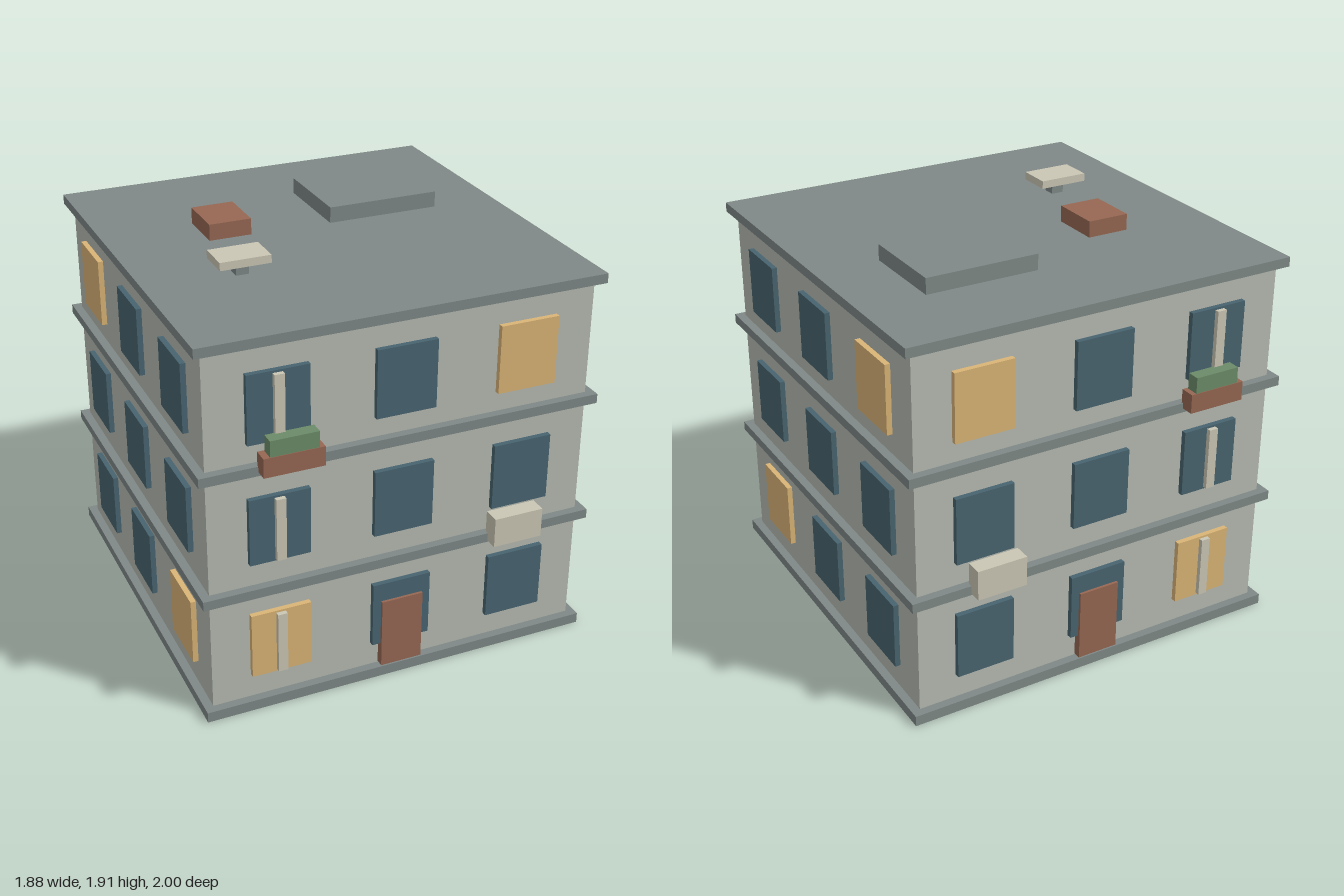
import * as THREE from 'three';

const mat = (color) => new THREE.MeshStandardMaterial({ color });

export function createModel() {
  const building = new THREE.Group();
  building.name = 'apartmentBuilding';

  const wall = mat(0xb6bbb2), slab = mat(0x7f8987), glass = mat(0x486470), lit = mat(0xdab476);
  const brick = mat(0x966752), leaf = mat(0x6c8c69), cream = mat(0xcbc7b4);

  // Box given by its extents on each axis
  function box(name, material, [x0, x1], [y0, y1], [z0, z1], parent = building) {
    const mesh = new THREE.Mesh(new THREE.BoxGeometry(x1 - x0, y1 - y0, z1 - z0), material);
    mesh.position.set((x0 + x1) / 2, (y0 + y1) / 2, (z0 + z1) / 2);
    mesh.name = name;
    parent.add(mesh);
    return mesh;
  }

  // Walls and projecting floor slabs
  box('walls', wall, [-0.9, 0.9], [0.02, 1.79], [-0.9, 0.9]);
  const levels = [['baseSlab', 0, 0.05], ['lowerLedge', 0.59, 0.635], ['upperLedge', 1.19, 1.235], ['roofSlab', 1.77, 1.815]];
  for (const [name, y0, y1] of levels) box(name, slab, [-0.94, 0.94], [y0, y1], [-0.94, 0.94]);

  const columns = [-0.58, 0, 0.58];
  const sills = [0.17, 0.75, 1.33];
  const isLit = (floor, col) => (floor === 0 && col === 0) || (floor === 2 && col === 2);

  for (const s of [1, -1]) {
    const face = new THREE.Group();
    face.name = s > 0 ? 'frontFace' : 'backFace';
    building.add(face);
    const depth = (a, b) => (s > 0 ? [a, b] : [-b, -a]);
    const side = new THREE.Group();
    side.name = s > 0 ? 'leftFace' : 'rightFace';
    building.add(side);

    sills.forEach((y, floor) => {
      columns.forEach((c, col) => {
        // Front and back windows
        box('window', isLit(floor, col) ? lit : glass, [c - 0.14, c + 0.14], [y, y + 0.32], depth(0.88, 0.925), face);
        // Side windows, running from front to back
        box('sideWindow', isLit(floor, col) ? lit : glass, depth(0.88, 0.925), [y, y + 0.32], [-c - 0.14, -c + 0.14], side);
      });
      // Vertical strip over the end window
      box('windowStrip', cream, [-0.605, -0.56], [y + 0.01, y + 0.31], depth(0.91, 0.947), face);
    });

    // Door, planter and wall unit
    box('door', brick, [-0.1, 0.1], [0.055, 0.4], depth(0.89, 0.938), face);
    box('planterBox', brick, [-0.68, -0.405], [1.21, 1.3], depth(0.93, 1), face);
    box('planterShrub', leaf, [-0.65, -0.43], [1.285, 1.375], depth(0.937, 0.997), face);
    box('airConditioner', cream, [0.42, 0.66], [0.597, 0.74], depth(0.92, 1), face);
  }

  // Rooftop items
  box('roofHatch', slab, [0.09, 0.63], [1.81, 1.89], [-0.52, -0.08]);
  box('chimney', brick, [-0.5, -0.3], [1.82, 1.896], [-0.32, -0.08]);
  box('ventPost', slab, [-0.53, -0.47], [1.81, 1.875], [0.27, 0.33]);
  box('ventCap', cream, [-0.62, -0.385], [1.87, 1.907], [0.22, 0.38]);

  return building;
}
